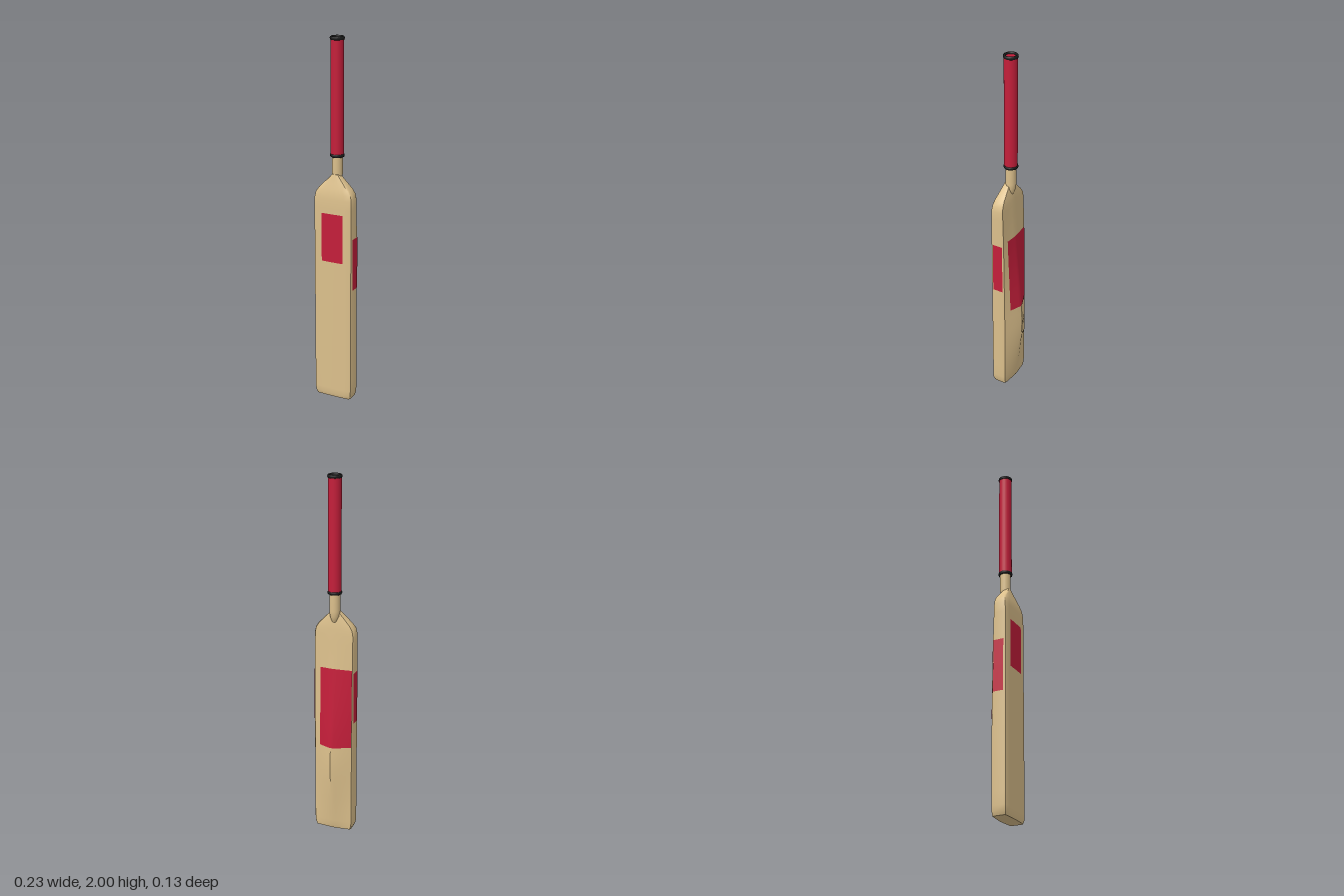
import * as THREE from 'three';
import { toCreasedNormals } from 'three/addons/utils/BufferGeometryUtils.js';

// Piecewise linear lookup over [key, value] pairs
function lookup(table, k) {
  for (let i = 1; i < table.length; i++) {
    const [a, va] = table[i - 1], [b, vb] = table[i];
    if (k <= b) return va + (vb - va) * Math.max(0, (k - a) / (b - a));
  }
  return table[table.length - 1][1];
}

// Blade outline by height: half width, face, rear edge and spine
const HALF_WIDTH = [[0, 0.102], [0.02, 0.109], [0.05, 0.112], [1.15, 0.112], [1.18, 0.106], [1.205, 0.09], [1.23, 0.066], [1.26, 0.036], [1.28, 0.018]];
const FRONT = [[0, 0.06], [0.02, 0.065], [1.14, 0.066], [1.19, 0.06], [1.24, 0.046], [1.28, 0.036]];
const EDGE = [[0, -0.016], [0.05, -0.017], [0.4, -0.016], [1.0, -0.012], [1.18, -0.006], [1.28, 0.004]];
const SPINE = [[0, -0.026], [0.02, -0.032], [0.2, -0.053], [0.3, -0.063], [0.38, -0.067], [0.46, -0.065], [0.6, -0.055], [0.8, -0.036], [0.95, -0.023], [1.1, -0.016], [1.2, -0.01], [1.28, 0]];

const halfWidth = (y) => lookup(HALF_WIDTH, y);
const frontZ = (x, y) => lookup(FRONT, y) - 0.003 * (x / halfWidth(y)) ** 2;
function backZ(x, y) {
  const e = lookup(EDGE, y), t = Math.min(1, Math.abs(x) / halfWidth(y));
  return e + (lookup(SPINE, y) - e) * (1 - t ** 1.12);
}

// Closed cross-section of the blade, counter-clockwise seen from below
function section(y) {
  const w = halfWidth(y), f = lookup(FRONT, y), e = lookup(EDGE, y), half = [];
  for (const t of [0, 0.3, 0.6, 0.9]) half.push([t * w, frontZ(t * w, y)]);
  half.push([0.965 * w, f - 0.006], [w, f - 0.014], [w, e + 0.01]);
  for (const t of [0.95, 0.8, 0.6, 0.4, 0.2, 0]) half.push([t * w, backZ(t * w, y)]);
  return half.concat(half.slice(1, -1).reverse().map(([x, z]) => [-x, z]));
}

// Surface through rows of points
function skin(rows, closed) {
  const n = rows[0].length, index = [];
  for (let r = 0; r < rows.length - 1; r++) {
    for (let i = 0; i < (closed ? n : n - 1); i++) {
      const a = r * n + i, b = r * n + (i + 1) % n;
      index.push(a, b, b + n, a, b + n, a + n);
    }
  }
  const g = new THREE.BufferGeometry();
  g.setAttribute('position', new THREE.Float32BufferAttribute(rows.flat(2), 3));
  g.setIndex(index);
  return g;
}

// Thin sheet from a point rule over a grid, u to the right and v upward
function patch(point, nu, nv) {
  const rows = [];
  for (let j = 0; j <= nv; j++) {
    const row = [];
    for (let i = 0; i <= nu; i++) row.push(point(i / nu, j / nv));
    rows.push(row);
  }
  const g = skin(rows, false);
  g.computeVertexNormals();
  return g;
}

function bladeGeometry() {
  const heights = [0, 0.008, 0.02, 0.05, 0.12, 0.2, 0.3, 0.38, 0.46, 0.6, 0.7, 0.8, 0.95, 1.1, 1.15, 1.18, 1.205, 1.23, 1.26, 1.28];
  const ring = (y) => section(y).map(([x, z]) => [x, y, z]);
  const rows = heights.map(ring);
  rows.unshift(rows[0].map(() => [0, 0, 0.02]));
  rows.push(rows[1].map(() => [0, 1.285, 0.018]));
  // The section runs front, +x, back, so rows rising in y face outward
  return toCreasedNormals(skin(rows, true).toNonIndexed(), 0.6);
}

export function createModel() {
  const model = new THREE.Group();
  const material = (name, color, side = THREE.FrontSide) => {
    const m = new THREE.MeshStandardMaterial({ color, side });
    m.name = name;
    return m;
  };
  const wood = material('willow', 0xdcc08c);
  const red = material('red', 0xc41e3a, THREE.DoubleSide);
  const black = material('black rubber', 0x1a1a1a);

  const add = (name, geometry, mat, y = 0, z = 0) => {
    const mesh = new THREE.Mesh(geometry, mat);
    mesh.name = name;
    mesh.position.set(0, y, z);
    model.add(mesh);
    return mesh;
  };

  add('blade', bladeGeometry(), wood);

  // Neck runs down into the shoulders and tapers behind them
  const handleZ = 0.006;
  const neck = [[0, 1.2], [0.016, 1.22], [0.026, 1.25], [0.029, 1.28], [0.029, 1.39]];
  add('neck', new THREE.LatheGeometry(neck.map(([r, y]) => new THREE.Vector2(r, y)), 24), wood, 0, handleZ);

  // Grip with a rubber ring at each end
  add('grip', new THREE.CylinderGeometry(0.035, 0.035, 0.615, 24), red, 1.6825, handleZ);
  for (const [name, y] of [['topRing', 1.99], ['bottomRing', 1.38]]) {
    const ring = new THREE.TorusGeometry(0.032, 0.007, 8, 16);
    ring.rotateX(Math.PI / 2);
    ring.scale(1, 1.4, 1);
    add(name, ring, black, y, handleZ);
  }

  // Painted panels follow the blade just above its surface
  const mix = THREE.MathUtils.lerp;
  const lift = 0.0015;
  add('frontPanel', patch((u, v) => {
    const x = mix(-0.063, 0.063, u), y = mix(0.8, 1.07, v);
    return [x, y, frontZ(x, y) + lift];
  }, 6, 4), red);
  add('backPanel', patch((u, v) => {
    const x = mix(0.072, -0.105, u), y = mix(0.51, 0.96, v);
    return [x, y, backZ(x, y) - lift];
  }, 16, 10), red);
  for (const s of [1, -1]) {
    add(s > 0 ? 'leftPanel' : 'rightPanel', patch((u, v) => {
      const z = s * mix(0.05, -0.008, u), y = mix(0.65, 0.94, v);
      return [s * (0.112 + 0.001), y, s > 0 ? z : mix(-0.008, 0.05, u)];
    }, 2, 2), red);
  }
  return model;
}
